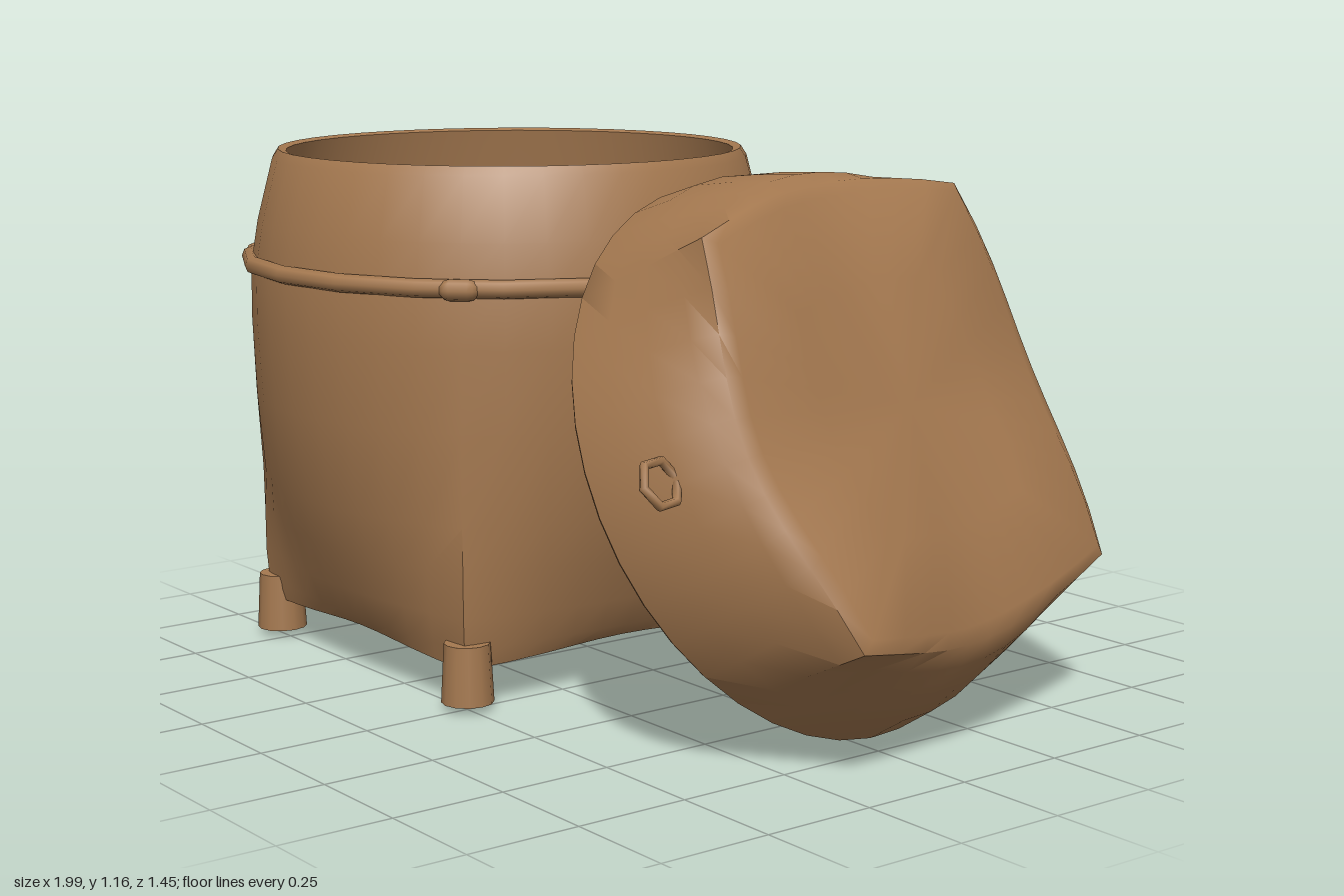
import * as THREE from 'three';
import { toCreasedNormals } from 'three/addons/utils/BufferGeometryUtils.js';

const wicker = new THREE.MeshStandardMaterial({ color: 0xa57950 });
wicker.name = 'brown wicker';

const SEGMENTS = 40;

// Skin through rows [y, half side of square, circle radius, roundness 0..1, drop at mid-edge]
function loft(rows) {
  const pos = [], index = [];
  for (const [y, half, radius, round, drop = 0] of rows) {
    for (let j = 0; j < SEGMENTS; j++) {
      const a = (j / SEGMENTS) * Math.PI * 2;
      const c = Math.cos(a), s = Math.sin(a);
      const square = half / Math.max(Math.abs(c), Math.abs(s));
      const r = THREE.MathUtils.lerp(square, radius, round);
      pos.push(c * r, y - drop * Math.cos(2 * a) ** 2, s * r);
    }
  }
  for (let i = 0; i < rows.length - 1; i++) {
    for (let j = 0; j < SEGMENTS; j++) {
      const k = (j + 1) % SEGMENTS;
      const a = i * SEGMENTS + j, b = i * SEGMENTS + k;
      const c = a + SEGMENTS, d = b + SEGMENTS;
      index.push(a, c, b, b, c, d);
    }
  }
  const g = new THREE.BufferGeometry();
  g.setAttribute('position', new THREE.Float32BufferAttribute(pos, 3));
  g.setIndex(index);
  return toCreasedNormals(g, 0.75);
}

function add(parent, name, geometry, x = 0, y = 0, z = 0) {
  const mesh = new THREE.Mesh(geometry, wicker);
  mesh.name = name;
  mesh.position.set(x, y, z);
  parent.add(mesh);
  return mesh;
}

function makeBasket() {
  const basket = new THREE.Group();
  basket.name = 'basket';
  basket.position.set(-0.4, 0, 0.1);

  // Square foot swelling into a round mouth, then back down the inside
  add(basket, 'basketBody', loft([
    [0.05, 0, 0, 0],
    [0.06, 0.22, 0.25, 0.3],
    [0.088, 0.41, 0.58, 0.04, -0.015],
    [0.13, 0.415, 0.585, 0.14],
    [0.2, 0.42, 0.59, 0.29],
    [0.3, 0.42, 0.592, 0.49],
    [0.4, 0.42, 0.595, 0.67],
    [0.6, 0.42, 0.595, 0.89],
    [0.78, 0.42, 0.592, 0.97],
    [0.9, 0.42, 0.587, 1],
    [1.0, 0.42, 0.57, 1],
    [1.135, 0.42, 0.535, 1],
    [1.155, 0.42, 0.522, 1],
    [1.15, 0.42, 0.504, 1],
    [1.0, 0.4, 0.535, 1],
    [0.85, 0.4, 0.562, 1],
    [0.6, 0.4, 0.567, 0.89],
    [0.4, 0.4, 0.567, 0.67],
    [0.2, 0.395, 0.56, 0.27],
    [0.12, 0.385, 0.54, 0.05],
    [0.08, 0, 0, 0],
  ]));

  // Hoop around the shoulder
  const hoop = add(basket, 'hoop', new THREE.TorusGeometry(0.592, 0.02, 8, 20), 0, 0.907, 0);
  hoop.rotation.x = Math.PI / 2;

  // Feet under the corners and lashings where the corners meet the hoop
  for (const sx of [-1, 1]) {
    for (const sz of [-1, 1]) {
      add(basket, 'foot', new THREE.CylinderGeometry(0.05, 0.057, 0.13, 12),
        sx * 0.395, 0.08, sz * 0.395);
      const lashing = add(basket, 'lashing', new THREE.CapsuleGeometry(0.023, 0.04, 3, 8),
        sx * 0.42, 0.905, sz * 0.42);
      lashing.rotation.set(Math.PI / 2, 0, sx * sz * Math.PI / 4);
    }
  }
  return basket;
}

function makeLid() {
  const lid = new THREE.Group();
  lid.name = 'lid';

  // Local y points out of the closed face, local x towards the front loop
  const yAxis = new THREE.Vector3(0.886, 0.434, -0.166).normalize();
  const zAxis = new THREE.Vector3(0.205, -0.05, 0.976).cross(yAxis).normalize();
  const xAxis = new THREE.Vector3().crossVectors(yAxis, zAxis);
  lid.quaternion.setFromRotationMatrix(new THREE.Matrix4().makeBasis(xAxis, yAxis, zAxis));
  lid.position.set(0.408, 0.547, -0.054);

  // Inside of the lid, round lip, then outside up to the squared closed face
  add(lid, 'lidBody', loft([
    [0.3, 0, 0, 0],
    [0.325, 0.4, 0.57, 0.35, 0.04],
    [0.17, 0.395, 0.575, 0.8],
    [0.0, 0.4, 0.585, 1],
    [-0.01, 0.42, 0.6, 1],
    [0.002, 0.42, 0.61, 1],
    [0.1, 0.42, 0.608, 0.94],
    [0.19, 0.425, 0.605, 0.78],
    [0.28, 0.428, 0.603, 0.57],
    [0.345, 0.43, 0.595, 0.38, 0.035],
    [0.36, 0.41, 0.56, 0.33, 0.04],
    [0.345, 0.25, 0.3, 0.3, 0.01],
    [0.34, 0, 0, 0],
  ]));

  // Tie loops on two opposite sides
  for (const [side, shift] of [[-1, -0.04], [1, 0.015]]) {
    const loop = add(lid, 'tieLoop', new THREE.TorusGeometry(0.048, 0.01, 6, 6),
      side * 0.605, 0.18, shift);
    loop.rotation.x = Math.PI / 2;
  }
  return lid;
}

export function createModel() {
  const model = new THREE.Group();
  model.name = 'basketWithLid';
  model.add(makeBasket(), makeLid());
  return model;
}
